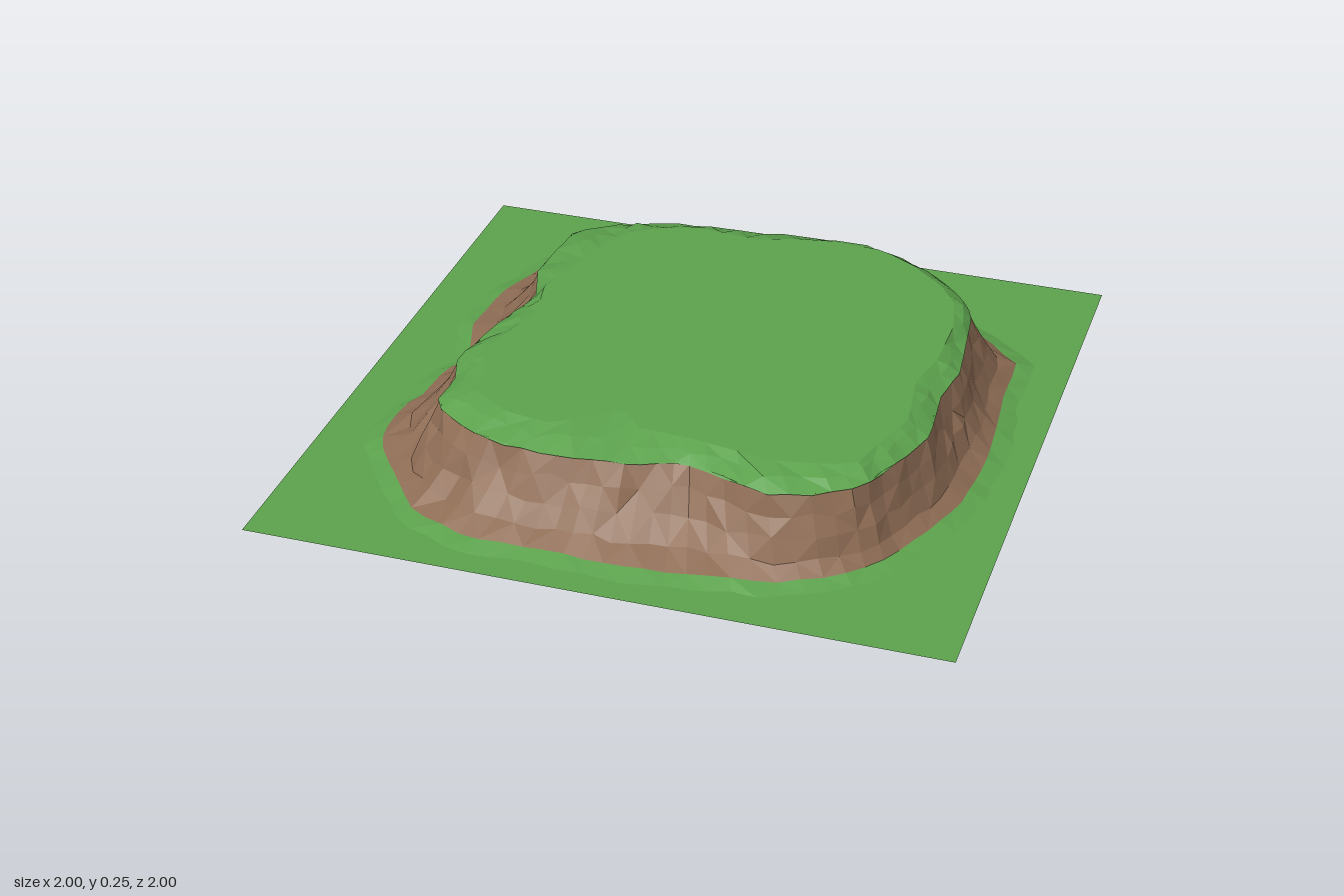
import * as THREE from 'three';

const N = 96; // columns around the hill, a multiple of 8 so the ground gets true corners

// Outlines as [x, z] pairs, listed clockwise from above
const FOOT = [
  [-0.18, -0.88], [0, -0.88], [0.2, -0.86], [0.42, -0.8], [0.62, -0.68], [0.75, -0.57], [0.84, -0.48],
  [0.84, -0.3], [0.86, -0.1], [0.87, 0.08], [0.85, 0.3], [0.8, 0.45], [0.72, 0.62], [0.62, 0.74],
  [0.46, 0.82], [0.26, 0.85], [0.06, 0.87], [-0.2, 0.86], [-0.38, 0.87], [-0.58, 0.79], [-0.66, 0.69],
  [-0.78, 0.53], [-0.82, 0.44], [-0.82, 0.3], [-0.79, 0.22], [-0.78, 0.08], [-0.74, -0.03],
  [-0.8, -0.22], [-0.79, -0.42], [-0.7, -0.69], [-0.56, -0.78], [-0.38, -0.83],
];
const BROW = [
  [0, -0.67], [0.06, -0.7], [0.22, -0.69], [0.4, -0.67], [0.55, -0.58], [0.65, -0.48], [0.71, -0.38],
  [0.73, -0.22], [0.75, -0.05], [0.73, 0.1], [0.75, 0.3], [0.7, 0.45], [0.64, 0.6], [0.52, 0.68],
  [0.4, 0.71], [0.28, 0.67], [0.15, 0.63], [0.02, 0.68], [-0.2, 0.7], [-0.35, 0.69], [-0.46, 0.65],
  [-0.6, 0.55], [-0.59, 0.42], [-0.63, 0.3], [-0.61, 0.2], [-0.59, 0.08], [-0.54, -0.1],
  [-0.59, -0.25], [-0.58, -0.4], [-0.57, -0.52], [-0.45, -0.6], [-0.3, -0.66], [-0.15, -0.67],
];
const PLATEAU = [
  [0, -0.58], [0.1, -0.62], [0.22, -0.64], [0.38, -0.63], [0.5, -0.56], [0.6, -0.47], [0.66, -0.38],
  [0.69, -0.25], [0.69, -0.05], [0.66, 0.08], [0.69, 0.3], [0.65, 0.4], [0.61, 0.55], [0.5, 0.58],
  [0.38, 0.6], [0.27, 0.58], [0.15, 0.56], [0, 0.55], [-0.08, 0.47], [-0.15, 0.54], [-0.25, 0.6],
  [-0.38, 0.58], [-0.5, 0.5], [-0.5, 0.42], [-0.56, 0.3], [-0.53, 0.18], [-0.49, 0.03], [-0.52, -0.1],
  [-0.5, -0.2], [-0.45, -0.35], [-0.43, -0.42], [-0.4, -0.5], [-0.3, -0.57], [-0.2, -0.6],
];

// Distance from the centre to an outline along one direction
function reach(outline, angle) {
  const c = Math.cos(angle), s = Math.sin(angle);
  let best = 0;
  outline.forEach(([ax, az], i) => {
    const [bx, bz] = outline[(i + 1) % outline.length];
    const sideA = c * az - s * ax, sideB = c * bz - s * bx;
    if (sideA * sideB > 0 || sideA === sideB) return;
    const t = sideA / (sideA - sideB);
    best = Math.max(best, (ax + (bx - ax) * t) * c + (az + (bz - az) * t) * s);
  });
  return best;
}

function seeded(seed) {
  return () => {
    seed = (seed * 16807) % 2147483647;
    return seed / 2147483647 - 0.5;
  };
}

// One closed ring of points; rule(angle, i) gives [radius, height]
function makeRing(rule) {
  return Array.from({ length: N }, (_, i) => {
    const a = (i / N) * Math.PI * 2;
    const [r, y] = rule(a, i);
    return [r * Math.cos(a), y, r * Math.sin(a)];
  });
}

// Faceted skin through rings, listed from the outside in
function loft(rings) {
  const pos = [];
  for (let k = 0; k + 1 < rings.length; k++) {
    for (let i = 0; i < N; i++) {
      const j = (i + 1) % N;
      const a = rings[k][i], b = rings[k][j], c = rings[k + 1][i], d = rings[k + 1][j];
      // Alternating diagonals break up the facets
      if ((i + k) % 2) pos.push(...a, ...c, ...b, ...b, ...c, ...d);
      else pos.push(...a, ...c, ...d, ...a, ...d, ...b);
    }
  }
  const geo = new THREE.BufferGeometry();
  geo.setAttribute('position', new THREE.Float32BufferAttribute(pos, 3));
  geo.computeVertexNormals();
  return geo;
}

export function createModel() {
  const grass = new THREE.MeshStandardMaterial({ color: 0x5ca24d, side: THREE.DoubleSide, flatShading: true });
  grass.name = 'grass';
  const earth = new THREE.MeshStandardMaterial({ color: 0x8f6d55, side: THREE.DoubleSide, flatShading: true });
  earth.name = 'earth';

  const rnd = seeded(4217);
  const hill = new THREE.Group();
  hill.name = 'grassyHill';
  const add = (name, rings, material) => {
    const mesh = new THREE.Mesh(loft(rings), material);
    mesh.name = name;
    hill.add(mesh);
  };

  // Rings shared between neighbouring parts
  const foot = makeRing((a) => [reach(FOOT, a), 0.014 + rnd() * 0.008]);
  const brow = makeRing((a) => [reach(BROW, a), 0.218 + rnd() * 0.006]);
  const plateau = makeRing((a) => [reach(PLATEAU, a), 0.25]);

  // Flat square ground, lifting slightly where it meets the cliff
  const edge = makeRing((a) => [1 / Math.max(Math.abs(Math.cos(a)), Math.abs(Math.sin(a))), 0]);
  const apron = makeRing((a) => [reach(FOOT, a) + 0.05 + rnd() * 0.02, 0]);
  add('ground', [edge, apron, foot], grass);

  // Rugged cliff, flaring out towards its foot
  const cliffRing = (t, y, rough) => makeRing((a) => {
    const r = THREE.MathUtils.lerp(reach(FOOT, a), reach(BROW, a), t);
    return [r + rnd() * rough, y + rnd() * rough];
  });
  add('cliff', [
    foot, cliffRing(0.35, 0.045, 0.016), cliffRing(0.62, 0.1, 0.02), cliffRing(0.83, 0.16, 0.02), brow,
  ], earth);

  // Grass lip hanging slightly over the cliff, then sloping up to the plateau
  const lip = makeRing((a) => [reach(BROW, a) + 0.006, 0.217 + rnd() * 0.006]);
  const bank = makeRing((a) => [
    THREE.MathUtils.lerp(reach(BROW, a), reach(PLATEAU, a), 0.5 + rnd() * 0.35), 0.237 + rnd() * 0.012,
  ]);
  add('grassBank', [brow, lip, bank, plateau], grass);

  // Flat top
  add('plateau', [plateau, makeRing(() => [0.0001, 0.25])], grass);

  return hill;
}
